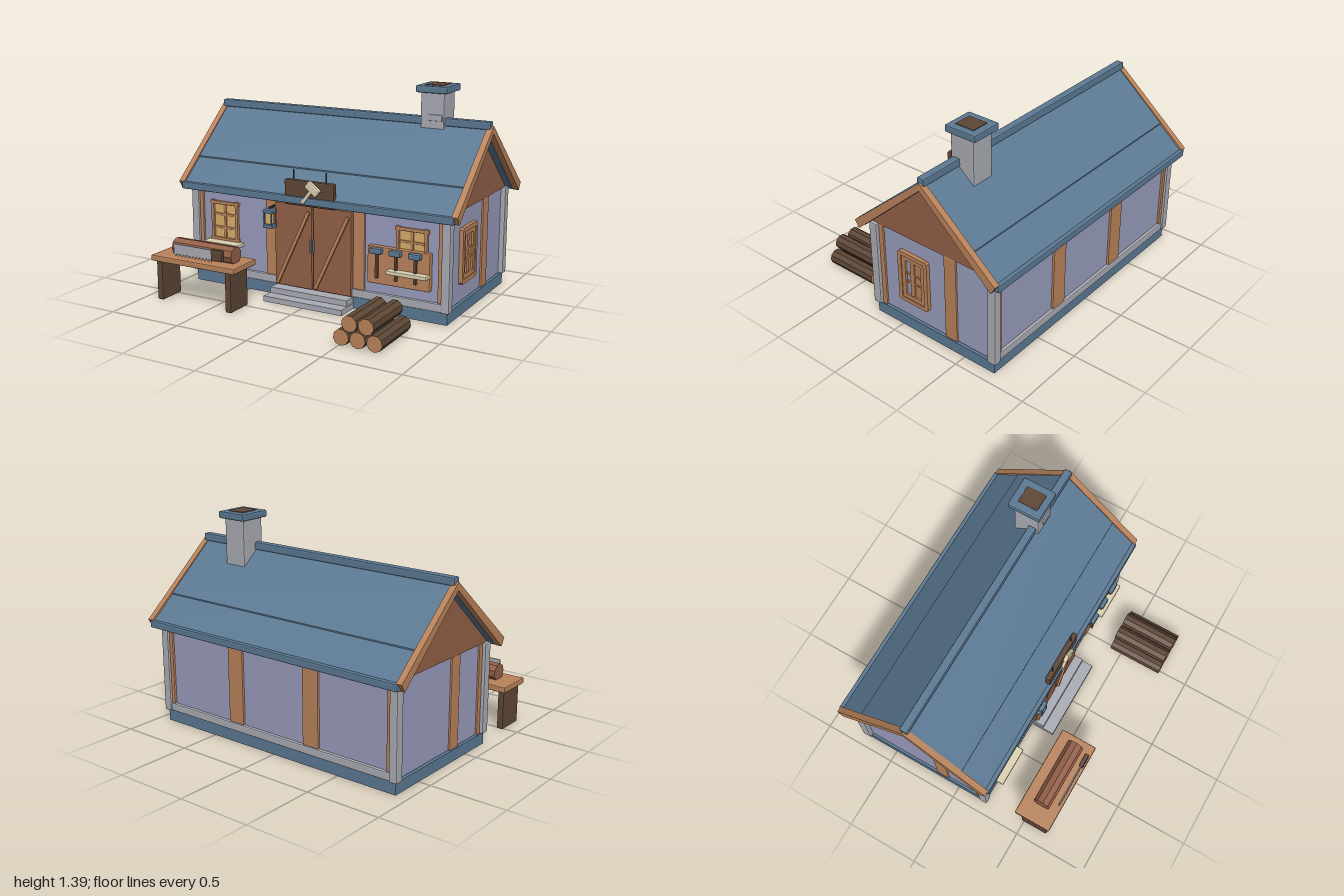
import * as THREE from 'three';
import { RoundedBoxGeometry } from 'three/addons/geometries/RoundedBoxGeometry.js';

const mat = (name, color, side = THREE.FrontSide) => {
  const m = new THREE.MeshStandardMaterial({ color, flatShading: true, side });
  m.name = name;
  return m;
};

export function createModel() {
  const slate = mat('slate blue', 0x5c7a94, THREE.DoubleSide), stone = mat('grey stone', 0xabadb5, THREE.DoubleSide);
  const plaster = mat('lavender plaster', 0x9a9dbe), wood = mat('light timber', 0xba835b);
  const rust = mat('red brown wood', 0x946048), dark = mat('dark wood', 0x5e4736);
  const cream = mat('pale wood', 0xdcd1b1), amber = mat('warm glass', 0xd8b06b);
  const iron = mat('dark iron', 0x343a42);

  const root = new THREE.Group();
  root.name = 'workshop';
  const group = (name, parent = root) => {
    const g = new THREE.Group();
    g.name = name;
    parent.add(g);
    return g;
  };
  const add = (name, geo, m, parent = root) => {
    const mesh = new THREE.Mesh(geo, m);
    mesh.name = name;
    parent.add(mesh);
    return mesh;
  };
  // box with narrow chamfers, given by its limits on each axis
  const box = (name, m, x0, x1, y0, y1, z0, z1, parent) => {
    const [w, h, d] = [x1 - x0, y1 - y0, z1 - z0];
    const bevel = Math.min(0.008, 0.25 * Math.min(w, h, d));
    const mesh = add(name, new RoundedBoxGeometry(w, h, d, 1, bevel), m, parent);
    mesh.position.set((x0 + x1) / 2, (y0 + y1) / 2, (z0 + z1) / 2);
    return mesh;
  };
  // hollow box standing on the ground, without its underside
  const shell = (name, m, x0, x1, h, z0, z1) => {
    const geo = new THREE.BoxGeometry(x1 - x0, h, z1 - z0);
    const index = Array.from(geo.index.array);
    index.splice(18, 6);
    geo.setIndex(index);
    geo.clearGroups();
    add(name, geo, m).position.set((x0 + x1) / 2, h / 2, (z0 + z1) / 2);
  };
  const extrude = (pts, depth) => new THREE.ExtrudeGeometry(
    new THREE.Shape(pts.map(p => new THREE.Vector2(p[0], p[1]))), { depth, bevelEnabled: false });

  const ZC = -0.26; // middle of the house, front to back

  // Foundation and walls
  shell('foundation', slate, -0.92, 0.92, 0.075, -0.73, 0.21);
  box('walls', plaster, -0.905, 0.905, 0.076, 0.67, -0.72, 0.2);
  for (const s of [-1, 1]) {
    for (const z of [0.2, -0.72])
      box('cornerPost', stone, s * 0.91 - 0.028, s * 0.91 + 0.028, 0.077, 0.67, z - 0.03, z + 0.03);
    // upright timbers, front then back
    for (const [x, w, backX, backW] of [[0.32, 0.08, 0.3, 0.12], [0.87, 0.03, 0.87, 0.03]]) {
      box('frontTimber', wood, s * x - w / 2, s * x + w / 2, 0.13, 0.635, 0.19, 0.215);
      box('backTimber', wood, s * backX - backW / 2, s * backX + backW / 2, 0.13, 0.635, -0.735, -0.71);
    }
    // side timbers
    const mid = ZC - s * 0.135;
    box('sideTimber', wood, s * 0.905 - 0.012, s * 0.905 + 0.012, 0.077, 0.668, mid - 0.046, mid + 0.046);
    box('sideEdgeTimber', wood, s * 0.905 - 0.012, s * 0.905 + 0.012, 0.077, 0.668, 0.135, 0.172);
    // gable triangle
    const gable = add('gable', extrude([[-0.49, 0.667], [0.49, 0.667], [0, 1.11]], 0.03), rust);
    gable.rotation.y = Math.PI / 2;
    gable.position.set(s * 0.9 - 0.015, 0, ZC);
  }
  for (const z of [0.205, -0.725]) {
    box('sill', stone, -0.9, 0.9, 0.077, 0.13, z - 0.015, z + 0.015);
    box('topPlate', stone, -0.9, 0.9, 0.635, 0.67, z - 0.012, z + 0.012);
  }

  // Roof: section of one slope, pushed along x and mirrored
  const slope = 0.85, apex = 1.15;
  const slab = (name, m, x0, x1, d0, d1, lift, thick, s) => {
    const y = d => apex - slope * d + lift;
    const pts = [[d0, y(d0)], [d1, y(d1)], [d1 - 0.03 * (d0 === 0), y(d1) - thick], [d0, y(d0) - thick]];
    const shape = pts.map(([d, h]) => [-s * d, h]);
    const mesh = add(name, extrude(shape, x1 - x0), m);
    mesh.rotation.y = Math.PI / 2;
    mesh.position.set(x0, 0, ZC);
  };
  for (const s of [-1, 1]) {
    slab('roofSlope', slate, -0.96, 0.96, 0, 0.53, -0.012, 0.036, s);
    slab('upperRoofCourse', slate, -0.96, 0.96, 0.01, 0.36, -0.004, 0.015, s);
    for (const e of [-1, 1])
      slab('bargeBoard', wood, e * 0.98 - 0.02, e * 0.98 + 0.02, 0, 0.54, 0.005, 0.05, s);
    const z = ZC + s * 0.53;
    box('eaveBoard', slate, -0.975, 0.975, 0.648, 0.695, z - 0.018, z + 0.018);
  }
  box('ridgeCap', slate, -0.987, 0.987, 1.13, 1.18, ZC - 0.026, ZC + 0.026);

  // Chimney
  const chimney = group('chimney');
  box('chimneyStack', stone, 0.525, 0.685, 1.0, 1.34, -0.39, -0.22, chimney);
  box('chimneyCap', slate, 0.498, 0.71, 1.335, 1.38, -0.422, -0.198, chimney);
  box('chimneyOpening', dark, 0.545, 0.665, 1.37, 1.385, -0.375, -0.24, chimney);
  box('chimneyBrick', stone, 0.58, 0.675, 1.16, 1.2, -0.23, -0.21, chimney);

  // Double door and steps
  const doors = group('doors');
  for (const x of [-0.278, 0.004]) {
    box('doorLeaf', rust, x, x + 0.274, 0.08, 0.63, 0.195, 0.236, doors);
    const brace = add('doorBrace', new THREE.BoxGeometry(0.022, 0.55, 0.016), wood, doors);
    brace.position.set(x + 0.137, 0.345, 0.241);
    brace.rotation.z = -0.44;
  }
  for (const x of [-0.012, 0.012]) box('doorHandle', stone, x - 0.005, x + 0.005, 0.33, 0.42, 0.236, 0.25, doors);
  shell('upperStep', stone, -0.28, 0.28, 0.074, 0.211, 0.295);
  shell('lowerStep', stone, -0.285, 0.285, 0.036, 0.211, 0.373);

  // Front windows with six panes and a sill
  for (const s of [-1, 1]) {
    const g = group('frontWindow');
    const w = 0.21, h = 0.27, rim = 0.022;
    box('glass', amber, -0.095, 0.095, -0.125, 0.125, 0, 0.008, g);
    for (const e of [-1, 1]) {
      const x = e * (w - rim) / 2, y = e * (h - rim) / 2;
      box('windowJamb', wood, x - rim / 2, x + rim / 2, -h / 2 - 0.006, h / 2 + 0.006, 0, 0.024, g);
      box('windowRail', wood, -w / 2 - 0.008, w / 2 + 0.008, y - rim / 2, y + rim / 2, 0, 0.022, g);
      box('crossBar', wood, -0.085, 0.085, e * 0.045 - 0.008, e * 0.045 + 0.008, 0, 0.016, g);
    }
    box('centreBar', wood, -0.01, 0.01, -0.115, 0.115, 0, 0.017, g);
    g.position.set(s * 0.682, 0.442, 0.2);
    box('windowSill', cream, s * 0.677 - 0.135, s * 0.677 + 0.135, 0.285, 0.311, 0.2, 0.29);
  }

  // Side window: chamfered casing, inner sash and one half showing plaster
  const sideWindow = group('sideWindow');
  const ring = (name, w, h, rim, cut, depth) => {
    const a = w / 2, b = h / 2;
    const shape = new THREE.Shape([[a - cut, -b], [a, cut - b], [a, b - cut], [a - cut, b],
      [cut - a, b], [-a, b - cut], [-a, cut - b], [cut - a, -b]].map(p => new THREE.Vector2(...p)));
    const [c, d] = [a - rim, b - rim];
    shape.holes.push(new THREE.Path([[-c, -d], [-c, d], [c, d], [c, -d]].map(p => new THREE.Vector2(...p))));
    add(name, new THREE.ExtrudeGeometry(shape, { depth, bevelEnabled: false }), wood, sideWindow);
  };
  ring('casing', 0.235, 0.36, 0.028, 0.012, 0.026);
  ring('sash', 0.181, 0.306, 0.029, 0.001, 0.02);
  box('plasterPane', plaster, -0.062, 0, -0.125, 0.125, 0, 0.006, sideWindow);
  box('woodPane', wood, 0, 0.062, -0.125, 0.125, 0, 0.008, sideWindow);
  box('centreBar', wood, -0.027, 0.006, -0.125, 0.125, 0, 0.016, sideWindow);
  for (const y of [-0.03, 0.03]) box('crossBar', wood, -0.062, 0.062, y - 0.006, y + 0.006, 0, 0.015, sideWindow);
  sideWindow.rotation.y = Math.PI / 2;
  sideWindow.position.set(0.905, 0.379, -0.108);

  // Tool board with three hammers
  const board = group('toolBoard');
  box('boardPanel', wood, 0.395, 0.815, 0.2, 0.44, 0.2, 0.243, board);
  for (const x of [0.465, 0.595, 0.725]) {
    box('hammerHandle', dark, x - 0.009, x + 0.009, 0.24, 0.405, 0.242, 0.264, board);
    box('hammerHead', slate, x - 0.04, x + 0.04, 0.4, 0.437, 0.243, 0.282, board);
  }

  // Lantern on a bracket
  const lantern = group('lantern');
  box('lanternBracket', iron, -0.298, -0.286, 0.59, 0.605, 0.2, 0.28, lantern);
  box('lanternTop', slate, -0.328, -0.256, 0.565, 0.588, 0.245, 0.305, lantern);
  box('lanternGlass', amber, -0.314, -0.27, 0.49, 0.567, 0.253, 0.296, lantern);
  box('lanternBase', slate, -0.328, -0.256, 0.467, 0.49, 0.245, 0.305, lantern);
  for (const x of [-0.319, -0.265]) for (const z of [0.251, 0.299])
    box('lanternBar', slate, x - 0.005, x + 0.005, 0.488, 0.568, z - 0.005, z + 0.005, lantern);

  // Hanging sign with a mallet
  const sign = group('hangingSign');
  box('signBoard', dark, -0.18, 0.175, 0.635, 0.8, 0.238, 0.275, sign);
  for (const x of [-0.12, 0.115]) box('signHanger', iron, x - 0.004, x + 0.004, 0.8, 0.865, 0.254, 0.262, sign);
  const mallet = group('mallet', sign);
  box('malletHandle', cream, -0.012, 0.012, -0.125, 0, 0, 0.02, mallet);
  box('malletHead', cream, -0.05, 0.05, -0.027, 0.027, 0, 0.028, mallet);
  mallet.position.set(0.035, 0.76, 0.275);
  mallet.rotation.z = -0.66;

  // Workbench
  const bench = group('workbench');
  box('benchTop', wood, -0.927, -0.29, 0.263, 0.302, 0.445, 0.697, bench);
  for (const x of [-0.882, -0.355]) box('benchLeg', dark, x - 0.022, x + 0.022, 0, 0.266, 0.48, 0.67, bench);
  const benchLog = add('benchLog', new THREE.CylinderGeometry(0.058, 0.058, 0.455, 9), rust, bench);
  benchLog.rotation.z = Math.PI / 2;
  benchLog.position.set(-0.58, 0.348, 0.574);

  // Saw with a toothed lower edge
  const saw = group('saw', bench);
  const edge = [[-0.455, 0.395], [-0.755, 0.395], [-0.755, 0.335]];
  for (let i = 0; i < 12; i++) {
    const x = -0.755 + i * 0.025;
    edge.push([x + 0.0125, 0.315], [x + 0.025, 0.335]);
  }
  add('sawBlade', extrude(edge, 0.008), stone, saw).position.z = 0.671;
  box('sawHandle', dark, -0.465, -0.38, 0.328, 0.4, 0.661, 0.69, saw);

  // Stacked firewood with pale cut ends
  const pile = group('logPile');
  for (const [x, y] of [[0.515, 0.05], [0.622, 0.05], [0.73, 0.05], [0.567, 0.14], [0.675, 0.14]]) {
    const log = add('log', new THREE.CylinderGeometry(0.051, 0.051, 0.38, 9), [dark, wood, wood], pile);
    log.rotation.x = Math.PI / 2;
    log.position.set(x, y, 0.61);
  }
  return root;
}
